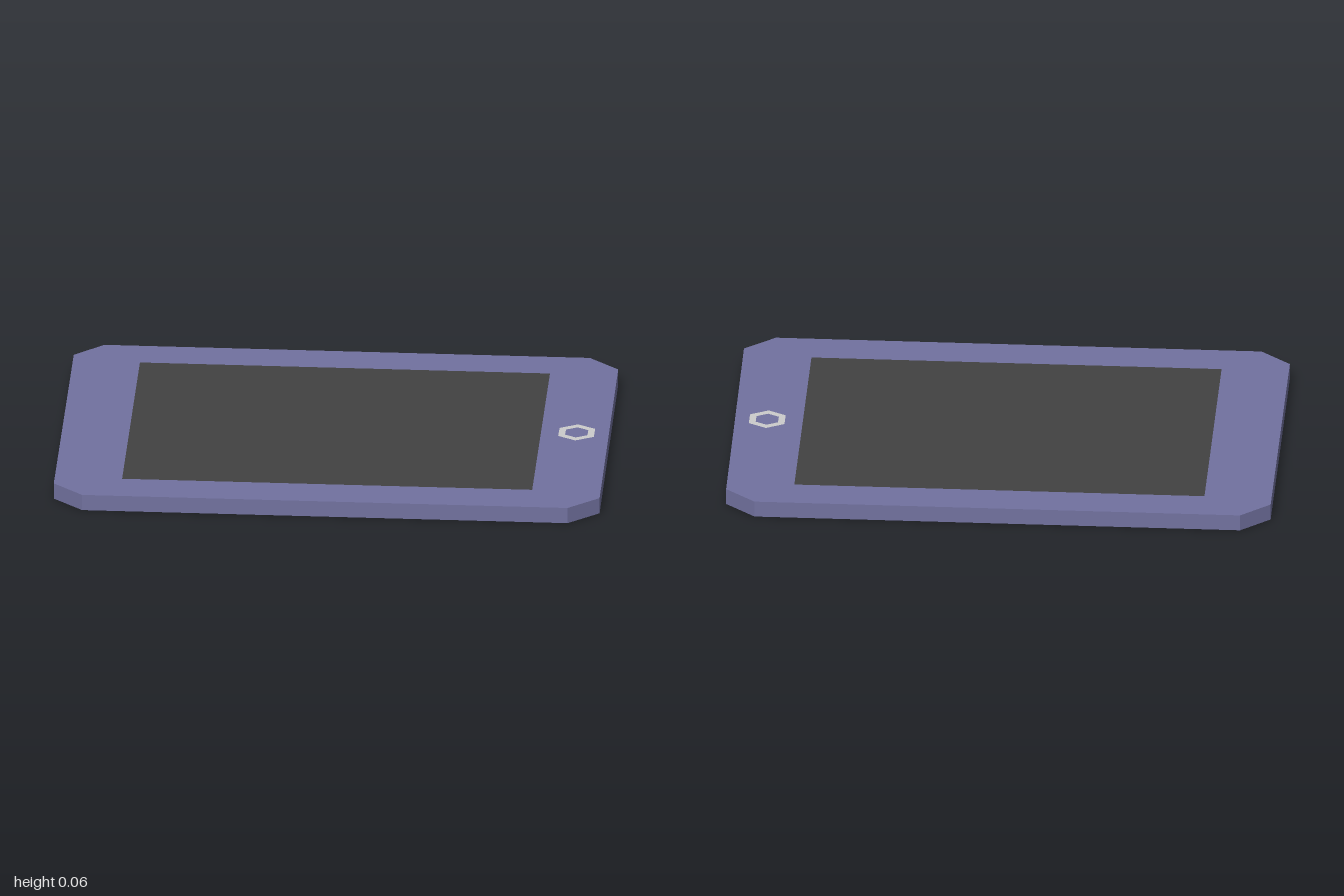
import * as THREE from 'three';

const HEIGHT = 0.06;

const material = (name, color, side = THREE.DoubleSide) => {
  const m = new THREE.MeshStandardMaterial({ color, side });
  m.name = name;
  return m;
};

// Outlines are listed as [x, z]; shapes are drawn with y = -z and then laid flat.
const toPoints = (outline) => outline.map(([x, z]) => new THREE.Vector2(x, -z));

const hexagon = (cx, radius) =>
  Array.from({ length: 6 }, (_, i) => {
    const a = (i / 6) * Math.PI * 2;
    return [cx + Math.sin(a) * radius, Math.cos(a) * radius];
  });

// Flat sheet at height y, with an optional hole
function sheet(name, mat, y, outline, hole) {
  const shape = new THREE.Shape(toPoints(outline));
  if (hole) shape.holes.push(new THREE.Path(toPoints(hole)));
  const geometry = new THREE.ShapeGeometry(shape).rotateX(-Math.PI / 2).translate(0, y, 0);
  const mesh = new THREE.Mesh(geometry, mat);
  mesh.name = name;
  return mesh;
}

// Upright band around an outline, one flat quad per edge
function band(name, mat, height, outline) {
  const positions = [];
  outline.forEach(([x0, z0], i) => {
    const [x1, z1] = outline[(i + 1) % outline.length];
    positions.push(x0, 0, z0, x1, 0, z1, x1, height, z1);
    positions.push(x0, 0, z0, x1, height, z1, x0, height, z0);
  });
  const geometry = new THREE.BufferGeometry();
  geometry.setAttribute('position', new THREE.Float32BufferAttribute(positions, 3));
  geometry.computeVertexNormals();
  const mesh = new THREE.Mesh(geometry, mat);
  mesh.name = name;
  return mesh;
}

export function createModel() {
  const caseBlue = material('case blue', 0x7272a0);
  const screenGrey = material('screen grey', 0x424242);
  const buttonGrey = material('button grey', 0xcccccc, THREE.FrontSide);

  // Counter-clockwise seen from above, slightly skewed, with cut corners
  const body = [
    [-0.99, 0.6], [-0.88, 0.7], [0.89, 0.7], [1, 0.6],
    [0.985, -0.6], [0.875, -0.7], [-0.895, -0.7], [-1, -0.6],
  ];
  const display = [[-0.745, 0.54], [0.75, 0.54], [0.74, -0.545], [-0.755, -0.545]];

  const tablet = new THREE.Group();
  tablet.name = 'tablet';
  tablet.add(
    band('sideWall', caseBlue, HEIGHT, body), // the underside stays open
    sheet('bezel', caseBlue, HEIGHT, body, display),
    sheet('screen', screenGrey, HEIGHT, display),
    sheet('homeButtonRing', buttonGrey, HEIGHT + 0.002, hexagon(0.875, 0.075), hexagon(0.875, 0.047)),
  );
  return tablet;
}
